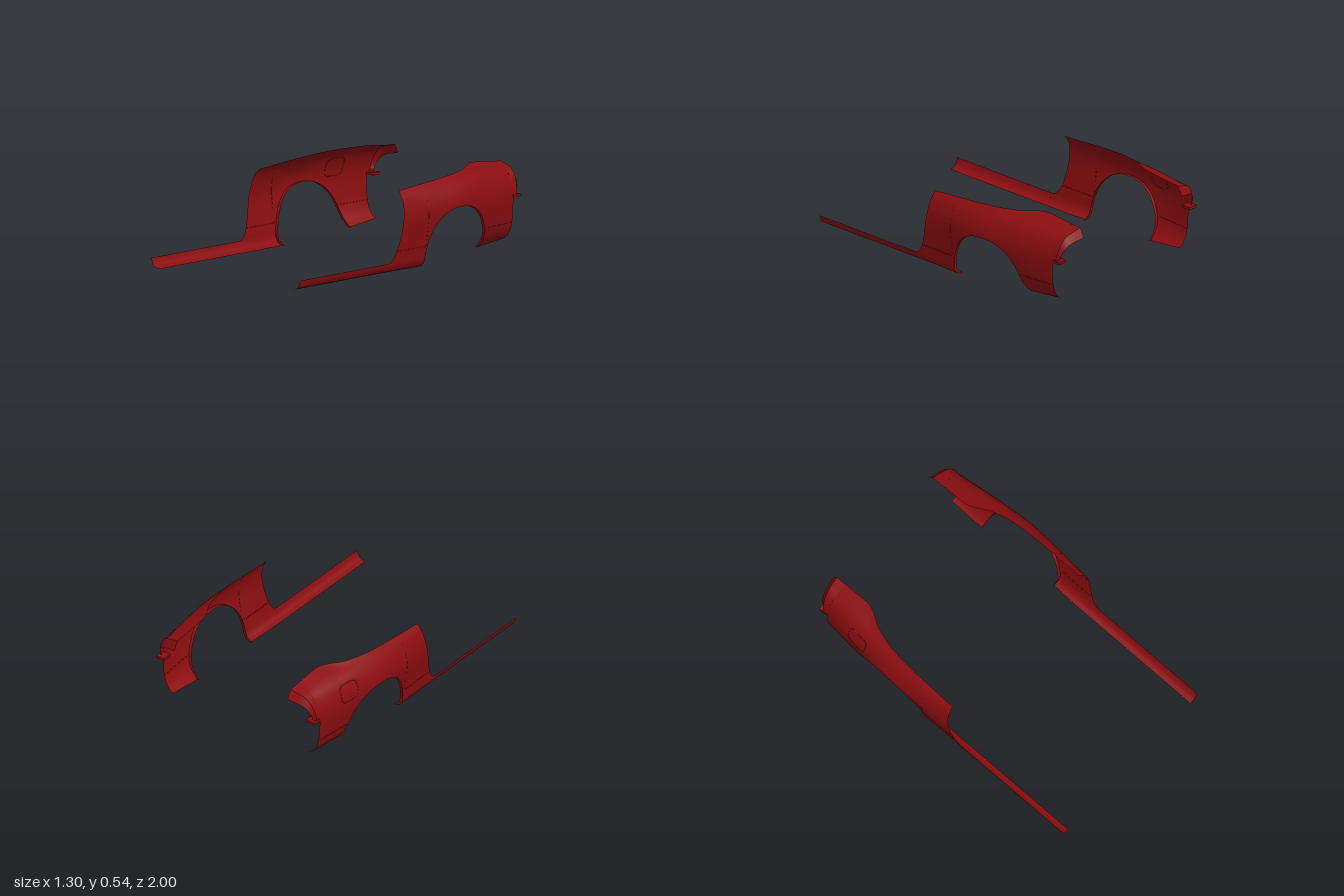
import * as THREE from 'three';

// Body sections (x, y) from sill to shoulder to top edge, at stations along z
const STATIONS = [
  [0.085, [[.54, 0], [.575, .015], [.593, .045], [.602, .1], [.615, .2], [.623, .3], [.615, .38], [.592, .45], [.56, .485]]],
  [-0.35, [[.54, 0], [.575, .015], [.597, .045], [.607, .1], [.623, .2], [.648, .33], [.637, .4], [.6, .465], [.547, .515]]],
  [-0.55, [[.525, .03], [.555, .055], [.583, .09], [.6, .14], [.615, .21], [.634, .32], [.622, .405], [.585, .475], [.505, .529]]],
  [-0.70, [[.515, .045], [.545, .07], [.575, .11], [.595, .16], [.607, .22], [.617, .32], [.607, .4], [.56, .485], [.43, .54]]],
  [-0.92, [[.515, .068], [.545, .09], [.568, .13], [.58, .18], [.586, .24], [.588, .33], [.575, .41], [.53, .48], [.425, .518]]],
];

// Smooth blend of one coordinate through the stations
function blend(z, point, axis) {
  const last = STATIONS.length - 1;
  const Z = i => STATIONS[i][0], V = i => STATIONS[i][1][point][axis];
  if (z >= Z(0)) return V(0);
  if (z <= Z(last)) return V(last);
  let i = 0;
  while (z < Z(i + 1)) i++;
  const slope = k => {
    const a = Math.max(k - 1, 0), b = Math.min(k + 1, last);
    return (V(b) - V(a)) / (Z(b) - Z(a));
  };
  const h = Z(i + 1) - Z(i), t = (z - Z(i)) / h, t2 = t * t, t3 = t2 * t;
  return V(i) * (2 * t3 - 3 * t2 + 1) + V(i + 1) * (3 * t2 - 2 * t3)
    + h * (slope(i) * (t3 - 2 * t2 + t) + slope(i + 1) * (t3 - t2));
}

function section(z) {
  return new THREE.CatmullRomCurve3(STATIONS[0][1].map((_, k) =>
    new THREE.Vector3(Math.max(blend(z, k, 0), .425), blend(z, k, 1), z)));
}

// Curve parameter at height y
function paramAt(curve, y) {
  let lo = 0, hi = 1;
  for (let k = 0; k < 22; k++) {
    const mid = (lo + hi) / 2;
    if (curve.getPoint(mid).y < y) lo = mid; else hi = mid;
  }
  return (lo + hi) / 2;
}

function onBody(z, y) {
  const c = section(z);
  return c.getPoint(paramAt(c, y));
}

function column(z, yLow, yHigh, n = 30) {
  const c = section(z), a = paramAt(c, yLow), b = paramAt(c, yHigh);
  return Array.from({ length: n + 1 }, (_, j) => c.getPoint(a + (b - a) * j / n));
}

// Skin over rows of points; side -1 mirrors it with the winding kept outward
function skin(rows, side) {
  const n = rows[0].length, pos = [], index = [];
  rows.forEach(r => r.forEach(p => pos.push(p.x * side, p.y, p.z)));
  for (let i = 0; i < rows.length - 1; i++) for (let j = 0; j < n - 1; j++) {
    const a = i * n + j, b = a + n, c = a + 1, d = b + 1;
    if (side > 0) index.push(a, b, d, a, d, c);
    else index.push(a, d, b, a, c, d);
  }
  const g = new THREE.BufferGeometry();
  g.setAttribute('position', new THREE.Float32BufferAttribute(pos, 3));
  g.setIndex(index);
  g.computeVertexNormals();
  return g;
}

// Wheel arch edge as [z, y], front to rear
function archEdge() {
  const e = 2 / 2.3, pts = [];
  for (let i = 0; i <= 48; i++) {
    const a = Math.PI * i / 48, c = Math.cos(a);
    pts.push([-.3825 + .2775 * Math.sign(c) * Math.abs(c) ** e, .34 * Math.max(Math.sin(a), 0) ** e]);
  }
  return pts;
}

function buildSide(side, paint) {
  const group = new THREE.Group();
  group.name = side > 0 ? 'leftQuarterPanel' : 'rightQuarterPanel';
  const add = (name, geometry) => {
    const m = new THREE.Mesh(geometry, paint);
    m.name = name;
    group.add(m);
    return m;
  };
  const seam = (name, pts, closed = false) => add(name, new THREE.TubeGeometry(
    new THREE.CatmullRomCurve3(pts.map(p => new THREE.Vector3(p.x * side, p.y, p.z)), closed), 64, .0015, 5, closed));

  // Sill
  add('sill', skin([1, .8, .6, .4, .23].map(z => column(z, 0, .062, 12)), side));

  // Main panel: door-side edge, arch and rear flank
  const rows = [];
  const edge = new THREE.SplineCurve([[.23, .062], [.19, .072], [.155, .12], [.125, .22], [.1, .36], [.085, .49]]
    .map(p => new THREE.Vector2(...p)));
  for (let i = 0; i <= 20; i++) {
    const p = edge.getPoint(i / 20);
    rows.push(column(p.x, 0, p.y));
  }
  for (let i = 1; i <= 6; i++) rows.push(column(.085 - .19 * i / 6, 0, 1));
  const arch = archEdge();
  arch.forEach(([z, y]) => rows.push(column(z, y, 1)));
  for (let i = 1; i <= 10; i++) rows.push(column(-.66 - .24 * i / 10, 0, 1));
  add('quarterPanel', skin(rows, side));

  // Inward lip of the wheel arch
  add('wheelArchLip', skin(arch.map(([z, y]) => {
    const p = onBody(z, y);
    return [p.clone().add(new THREE.Vector3(-.02, 0, 0)), p];
  }), side));

  // Rear corner swept back towards the middle, above the lamp opening
  const base = column(-.9, .335, 1);
  const swept = f => base.map(p => {
    const k = THREE.MathUtils.clamp((.588 - p.x) / .163, 0, 1);
    return new THREE.Vector3(p.x, p.y - .004 * f * k, p.z - f * (.03 + .042 * Math.sqrt(k)));
  });
  add('rearCorner', skin([0, .25, .5, .75, 1].map(swept), side));

  // Lip turned in around the lamp opening
  const outer = swept(1);
  const inner = outer.map(p => {
    const w = THREE.MathUtils.clamp((p.y - .335) / .175, 0, 1);
    return new THREE.Vector3(p.x - .022 * (1 - w), p.y - .055 * w, p.z - .012 - .016 * w);
  });
  add('lampOpeningLip', skin([outer, inner], side));

  // Bracket under the lamp opening
  add('lampBracket', new THREE.BoxGeometry(.06, .016, .062)).position.set(side * .565, .33, -.93);

  // Panel seams ahead of and behind the wheel
  const line = (z0, z1, y) => Array.from({ length: 9 }, (_, i) => onBody(z0 + (z1 - z0) * i / 8, y));
  seam('frontSeam', line(.15, -.105, .13));
  seam('rearSeam', line(-.65, -.9, .17));

  // Fuel filler door outline on the right panel only
  if (side < 0) {
    const pts = [];
    for (let i = 0; i < 32; i++) {
      const a = Math.PI * 2 * i / 32, c = Math.cos(a), s = Math.sin(a);
      pts.push(onBody(-.64 + .07 * Math.sign(c) * Math.abs(c) ** .45, .4 + .055 * Math.sign(s) * Math.abs(s) ** .45));
    }
    seam('fuelDoorSeam', pts, true);
  }
  return group;
}

export function createModel() {
  const paint = new THREE.MeshStandardMaterial({ color: 0x8b0d10, side: THREE.DoubleSide });
  const model = new THREE.Group();
  model.name = 'rearQuarterPanels';
  for (const side of [1, -1]) model.add(buildSide(side, paint));
  return model;
}
